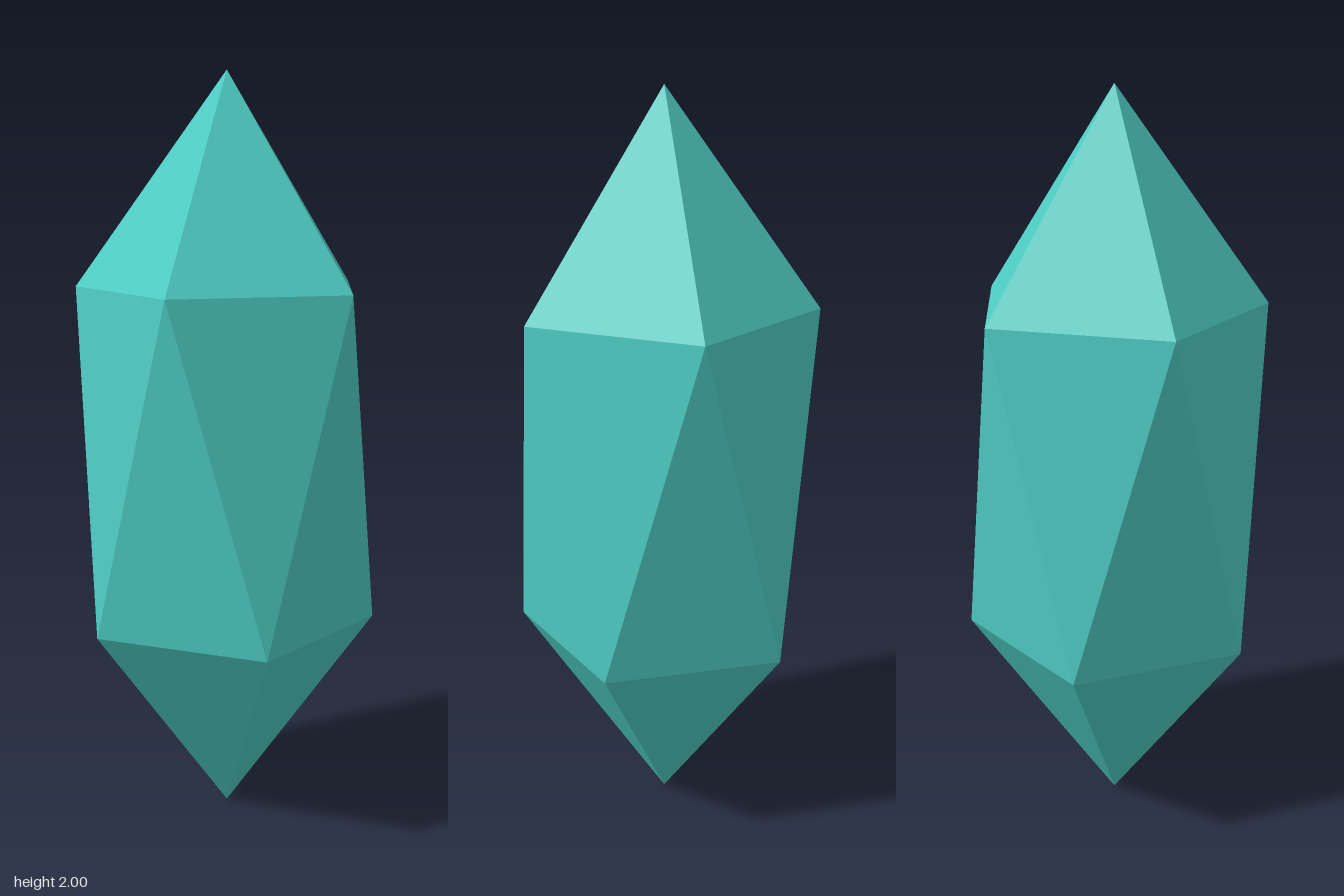
import * as THREE from 'three';

const SIDES = 5;
const RADIUS = 0.4;

// One corner of a five-sided ring; turn is measured in fifths of a circle.
function ringPoint(turn, y) {
  const a = (turn / SIDES) * Math.PI * 2;
  return [RADIUS * Math.cos(a), y, RADIUS * Math.sin(a)];
}

// Two staggered rings joined by a band of triangles and closed by two tips.
function crystalGeometry() {
  const top = [0, 2, 0];
  const bottom = [0, 0, 0];
  const upper = (i) => ringPoint(i, 1.45);
  const lower = (i) => ringPoint(i + 0.5, 0.555);
  const corners = [];
  for (let i = 0; i < SIDES; i++) {
    corners.push(top, upper(i + 1), upper(i)); // upper tip
    corners.push(upper(i), upper(i + 1), lower(i)); // band, pointing down
    corners.push(upper(i + 1), lower(i + 1), lower(i)); // band, pointing up
    corners.push(lower(i), lower(i + 1), bottom); // lower tip
  }
  const geometry = new THREE.BufferGeometry();
  geometry.setAttribute('position', new THREE.Float32BufferAttribute(corners.flat(), 3));
  geometry.computeVertexNormals();
  return geometry;
}

export function createModel() {
  const group = new THREE.Group();
  group.name = 'crystal';
  const material = new THREE.MeshStandardMaterial({ color: 0x4ecdc4, flatShading: true });
  const gem = new THREE.Mesh(crystalGeometry(), material);
  gem.name = 'crystalBody';
  group.add(gem);
  return group;
}
